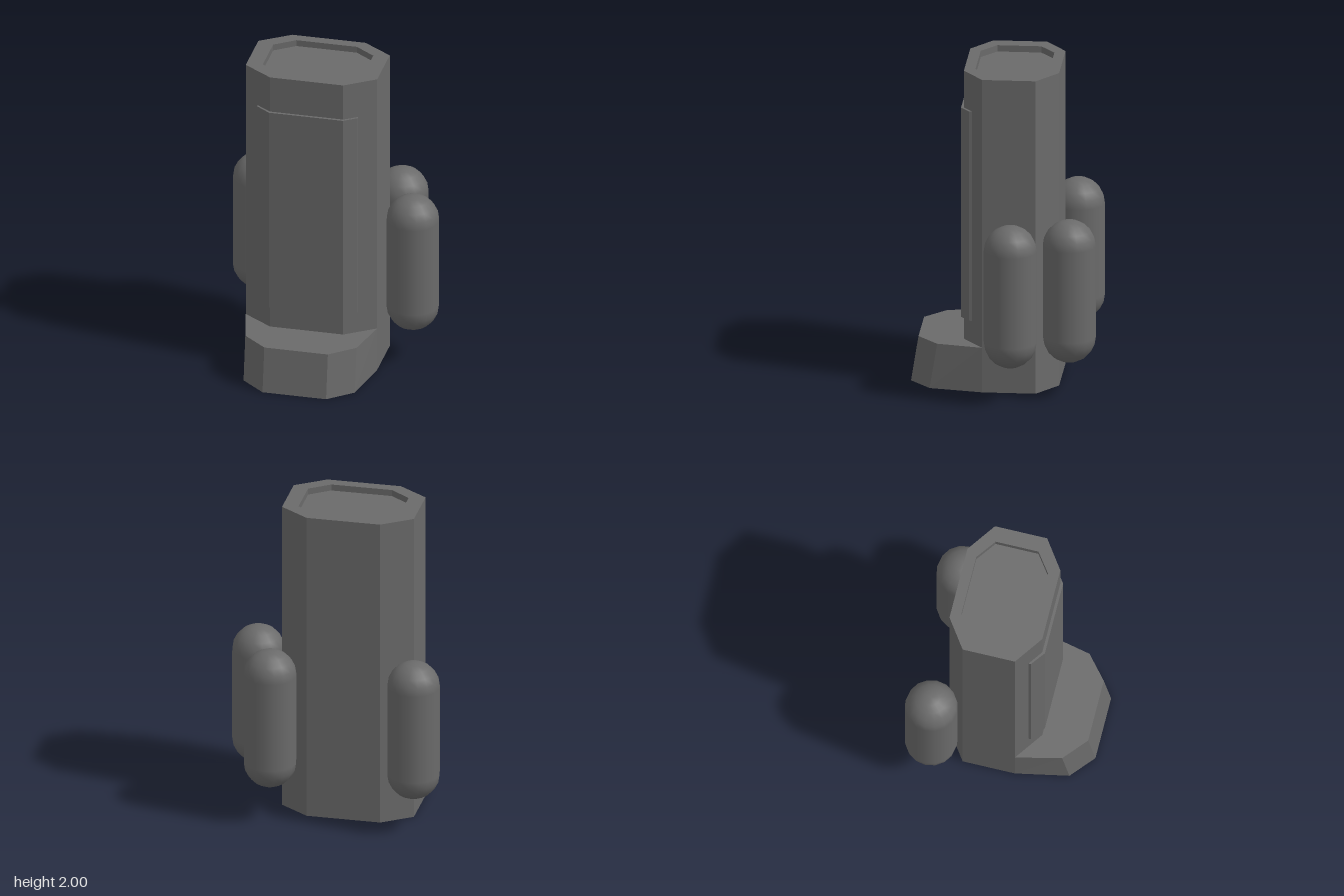
import * as THREE from 'three';

// Chamfered octagon, counter-clockwise seen from above: outer box and chamfer corners
function octagon(x0, x1, z0, z1, cx, cz) {
  return [
    [x0 + cx, z1], [x1 - cx, z1], [x1, z1 - cz], [x1, z0 + cz],
    [x1 - cx, z0], [x0 + cx, z0], [x0, z0 + cz], [x0, z1 - cz],
  ];
}

// Joins rings of [x, z] points at given heights; optionally closes both ends
function loft(rings, capBottom) {
  const pos = [];
  const put = (...pts) => pts.forEach((p) => pos.push(...p));
  const loops = rings.map(([y, pts]) => pts.map(([x, z]) => [x, y, z]));
  const n = loops[0].length;
  for (let r = 0; r < loops.length - 1; r++) {
    const a = loops[r], b = loops[r + 1];
    for (let i = 0; i < n; i++) {
      const j = (i + 1) % n;
      put(a[i], a[j], b[j], a[i], b[j], b[i]);
    }
  }
  const first = loops[0], last = loops[loops.length - 1];
  for (let i = 1; i < n - 1; i++) {
    put(last[0], last[i], last[i + 1]);
    if (capBottom) put(first[0], first[i + 1], first[i]);
  }
  const geo = new THREE.BufferGeometry();
  geo.setAttribute('position', new THREE.Float32BufferAttribute(pos, 3));
  geo.computeVertexNormals();
  return geo;
}

export function createModel() {
  const group = new THREE.Group();
  const grey = new THREE.MeshStandardMaterial({ color: 0x6a6a6a });
  grey.name = 'darkGrey';
  const add = (name, geo) => {
    const mesh = new THREE.Mesh(geo, grey);
    mesh.name = name;
    group.add(mesh);
    return mesh;
  };

  const footTop = 0.285;
  const outer = octagon(-0.485, 0.342, -0.335, 0.25, 0.183, 0.128);
  const inner = octagon(-0.385, 0.245, -0.27, 0.182, 0.125, 0.091);

  // Tall body with a shallow recess in its top
  add('body', loft([[footTop, outer], [2, outer], [2, inner], [1.96, inner]], false));

  // Base: the body's rear outline with a sloping toe in front
  const base = (slope) => [
    [-0.27, 0.577 - slope], [0.13, 0.577 - slope], [0.28, 0.45 - slope],
    ...outer.slice(2),
    [-0.42, 0.45 - slope],
  ];
  add('foot', loft([[0, base(0)], [footTop, base(0.046)]], true));

  // Thin front panel wrapping round the front chamfers
  const panel = new THREE.Shape([
    [-0.395, 0.2], [-0.305, 0.267], [0.162, 0.267], [0.24, 0.211],
    [0.24, 0.188], [0.155, 0.245], [-0.3, 0.245], [-0.395, 0.178],
  ].map(([x, z]) => new THREE.Vector2(x, -z)));
  const panelGeo = new THREE.ExtrudeGeometry(panel, { depth: 1.34, bevelEnabled: false });
  panelGeo.rotateX(-Math.PI / 2).translate(0, 0.425, 0);
  add('frontPanel', panelGeo);

  // Upright capsule tanks round the sides and back
  const tank = new THREE.CapsuleGeometry(0.163, 0.579, 5, 16);
  const spots = { tankRight: [-0.525, -0.395], tankBackLeft: [0.37, -0.416], tankLeft: [0.521, -0.066] };
  for (const [name, [x, z]] of Object.entries(spots)) {
    add(name, tank).position.set(x, 0.673, z);
  }
  return group;
}
